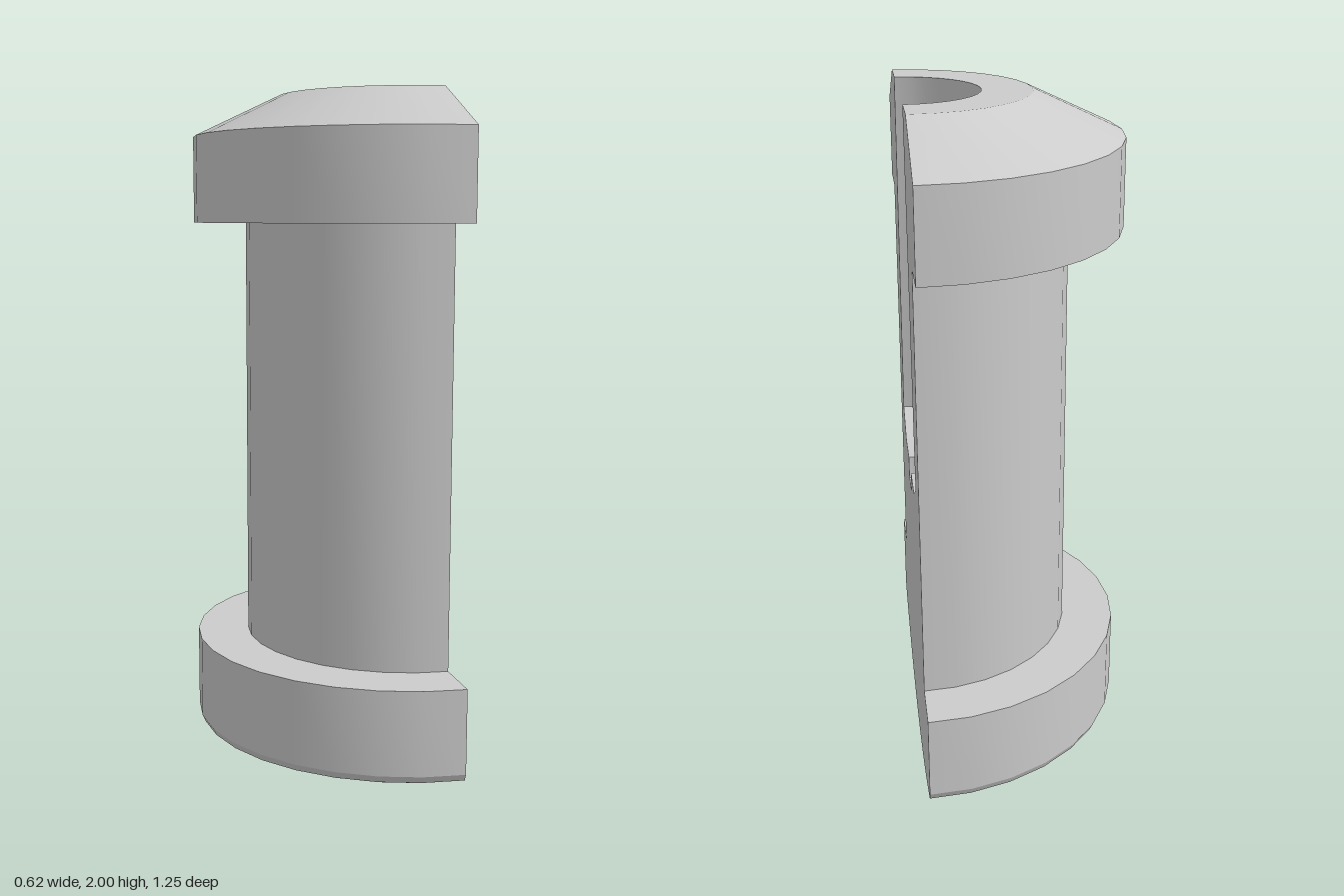
import * as THREE from 'three';
import { toCreasedNormals } from 'three/addons/utils/BufferGeometryUtils.js';

const CUT_X = 0.3125; // the cut plane holds the axis of revolution

// Outside profile (radius, height), bottom to top, starting with the domed underside
function outerProfile() {
  const pts = [];
  const domeR = 1.8;
  for (let i = 0; i <= 10; i++) {
    const r = 0.06 * i;
    pts.push([r, domeR - Math.sqrt(domeR * domeR - r * r)]);
  }
  pts.push([0.616, 0.11], [0.625, 0.13]);
  pts.push([0.625, 0.375], [0.47, 0.375]); // lower flange
  pts.push([0.47, 1.63], [0.625, 1.63]); // shaft
  pts.push([0.625, 1.88], [0.37, 2]); // upper flange and chamfer
  pts.push([0.228, 2]); // rim
  return pts;
}

// Bore profile, rim to blind end
const boreProfile = [
  [0.228, 2], [0.316, 0.94], [0.2, 0.875], [0.06, 0.875], [0.05, 0.81], [0, 0.81],
];

const toVectors = (pts) => pts.map(([x, y]) => new THREE.Vector2(x, y));

export function createModel() {
  const group = new THREE.Group();
  group.name = 'sectionedSpool';
  const material = new THREE.MeshStandardMaterial({ color: 0xcccccc });

  const add = (name, geometry) => {
    const mesh = new THREE.Mesh(geometry, material);
    mesh.name = name;
    mesh.position.x = CUT_X;
    group.add(mesh);
  };

  // Half-turn surfaces on the -x side of the cut
  const halfTurn = (pts) =>
    toCreasedNormals(new THREE.LatheGeometry(toVectors(pts), 16, Math.PI, Math.PI), 0.4);

  const outer = outerProfile();
  add('outerBody', halfTurn(outer));
  add('taperedBore', halfTurn(boreProfile));

  // Flat section face: the full profile and its mirror image
  const half = [...outer, ...boreProfile.slice(1)];
  const mirrored = half.slice(1, -1).reverse().map(([x, y]) => [-x, y]);
  const face = new THREE.ShapeGeometry(new THREE.Shape(toVectors([...half, ...mirrored])));
  add('sectionFace', face.rotateY(Math.PI / 2));

  return group;
}
